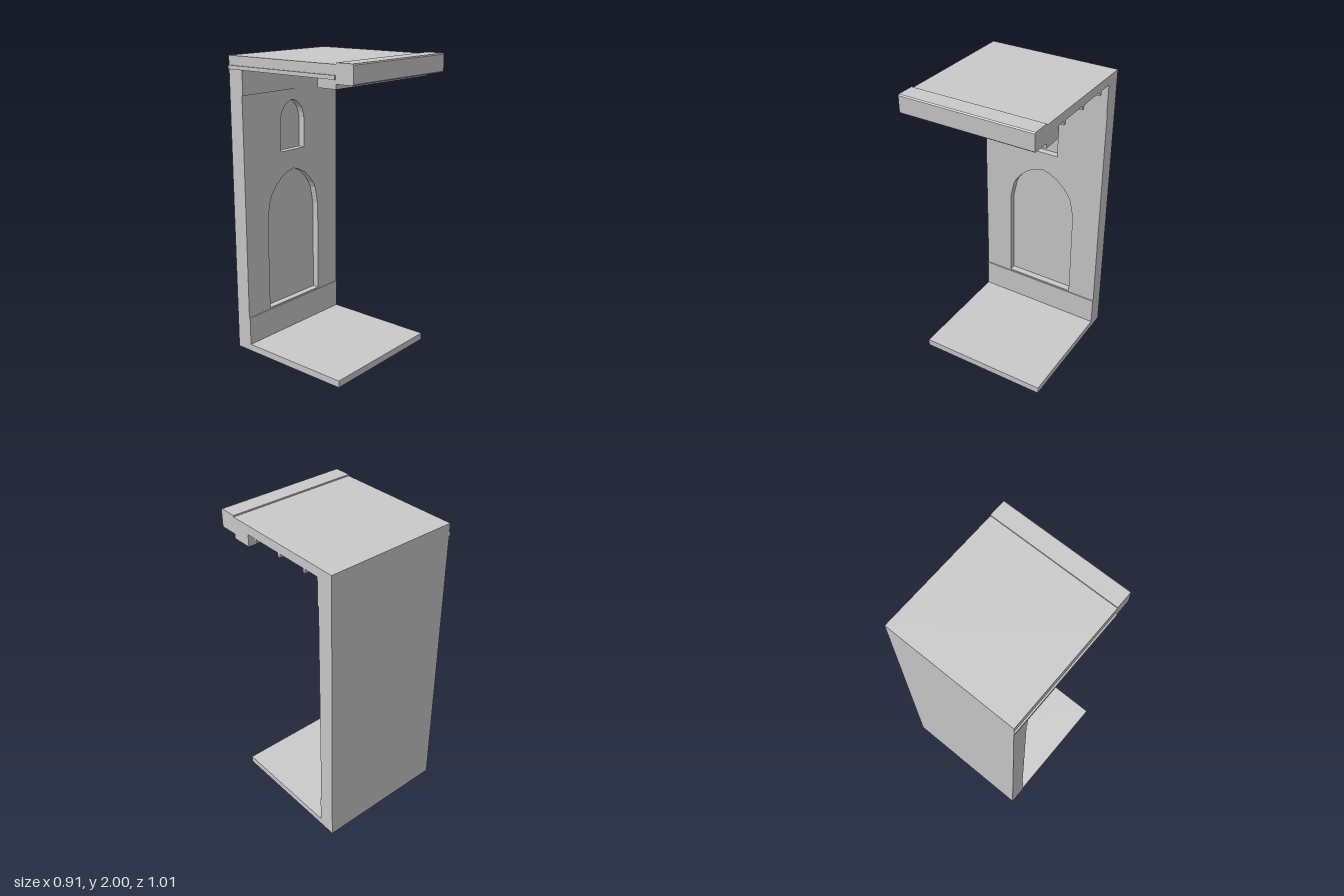
import * as THREE from 'three';

export function createModel() {
  const model = new THREE.Group();
  const stone = new THREE.MeshStandardMaterial({ color: 0xcacaca });
  stone.name = 'pale grey stone';

  const L = -0.447, R = 0.456, MID = (L + R) / 2; // body edges in x
  const BACK = -0.503, FRONT = 0.503;

  const add = (name, geometry) => {
    const mesh = new THREE.Mesh(geometry, stone);
    mesh.name = name;
    model.add(mesh);
    return mesh;
  };
  // box given by its limits on each axis
  const box = (name, x0, x1, y0, y1, z0, z1) => {
    const g = new THREE.BoxGeometry(x1 - x0, y1 - y0, z1 - z0);
    g.translate((x0 + x1) / 2, (y0 + y1) / 2, (z0 + z1) / 2);
    return add(name, g);
  };
  // (z, y) profile swept across the full width
  const sweep = (name, points) => {
    const shape = new THREE.Shape(points.map(([z, y]) => new THREE.Vector2(z, y)));
    const g = new THREE.ExtrudeGeometry(shape, { depth: R - L, bevelEnabled: false });
    g.rotateY(-Math.PI / 2).translate(R, 0, 0);
    return add(name, g);
  };
  // faceted pointed arch: half outline from the spring line up, then mirrored
  const arch = (bottom, half) => {
    const right = [[half[0][0], bottom], ...half];
    const left = right.slice(0, -1).reverse().map(([x, y]) => [-x, y]);
    return new THREE.Path([...right, ...left].map(([x, y]) => new THREE.Vector2(MID + x, y)));
  };

  // floor and solid rear of the wall
  box('floor', L, R, 0, 0.046, BACK, 0.4);
  box('wallBacking', L, R, 0.046, 1.93, BACK, -0.44);

  // wall face with the two recessed niches
  const face = new THREE.Shape([[L, 0.046], [R, 0.046], [R, 1.93], [L, 1.93]]
    .map(([x, y]) => new THREE.Vector2(x, y)));
  face.holes.push(
    arch(0.25, [[0.25, 0.9], [0.225, 1.02], [0.205, 1.06], [0.165, 1.11],
      [0.115, 1.155], [0.06, 1.185], [0, 1.202]]),
    arch(1.333, [[0.114, 1.54], [0.108, 1.575], [0.095, 1.607], [0.075, 1.635],
      [0.05, 1.655], [0.025, 1.668], [0, 1.674]]));
  const faceGeometry = new THREE.ExtrudeGeometry(face, { depth: 0.047, bevelEnabled: false });
  add('wallFace', faceGeometry.translate(0, 0, -0.44));

  // slightly raised bands at the foot and head of the wall
  box('baseboard', L, R, 0.046, 0.24, -0.393, -0.386);
  box('wallHeadBand', L, R, 1.745, 1.93, -0.393, -0.386);

  // roof slab, front beam and softened fascia
  box('roof', L, R, 1.93, 1.99, BACK, 0.24);
  box('frontBeam', L, R, 1.85, 1.99, 0.24, 0.378);
  sweep('fascia', [[0.378, 1.88], [0.496, 1.88], [FRONT, 1.887], [FRONT, 1.993],
    [0.496, 2], [0.378, 2]]);

  // ceiling coffer ribs, lengthways and across
  for (let i = 0; i < 4; i++) {
    const x = L + i * 0.2235;
    box('ceilingRibLengthways', x - 0.01, x + 0.01, 1.905, 1.93, i === 0 ? BACK : -0.386, i === 0 ? 0.375 : 0.24);
  }
  for (const z of [0.172, -0.052, -0.275]) {
    box('ceilingRibAcross', L, R, 1.905, 1.93, z - 0.01, z + 0.01);
  }
  return model;
}
